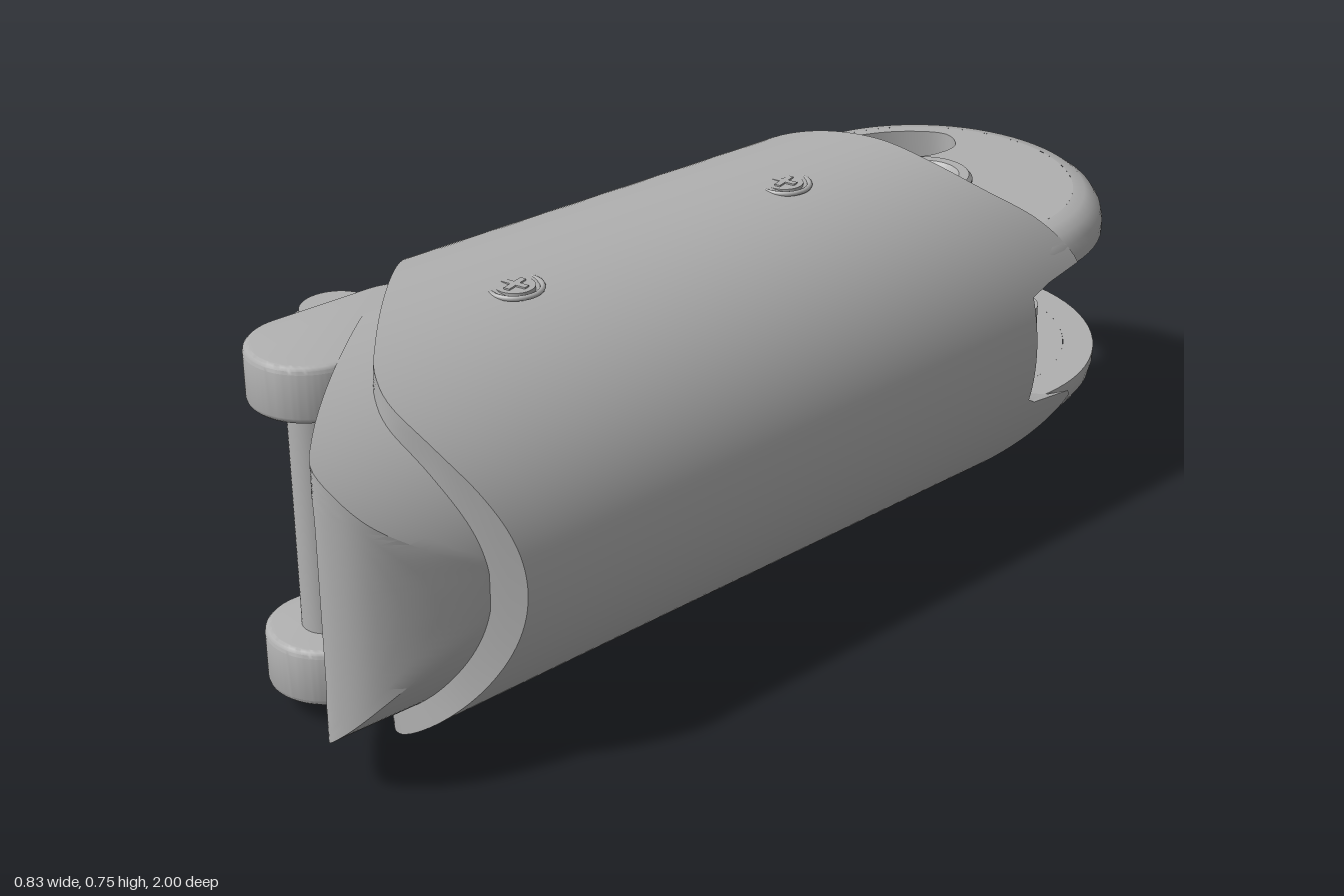
import * as THREE from 'three';
import { toCreasedNormals } from 'three/addons/utils/BufferGeometryUtils.js';

const grey = new THREE.MeshStandardMaterial({ color: 0xb0b0b0 });
grey.name = 'plain grey';

const MID = 0.38; // height of the horizontal mirror plane
const PIVOT = [-0.04, -0.65];
const lerp = THREE.MathUtils.lerp;

// piecewise linear lookup through [x, value] points
function table(points, x) {
  if (x <= points[0][0]) return points[0][1];
  for (let i = 1; i < points.length; i++) {
    const [x0, v0] = points[i - 1], [x1, v1] = points[i];
    if (x <= x1) return lerp(v0, v1, (x - x0) / (x1 - x0));
  }
  return points[points.length - 1][1];
}

// smooth curve through the points, resampled for lookups
function smoothTable(points) {
  const curve = new THREE.CatmullRomCurve3(points.map(([x, v]) => new THREE.Vector3(x, v, 0)), false, 'centripetal');
  return curve.getPoints(60).map(p => [p.x, p.y]);
}

// rounded rectangular cavity, along the ray at angle a
function cavity(a) {
  const c = Math.cos(a), s = Math.sin(a), w = c > 0 ? 0.23 : 0.25, n = 9;
  const r = Math.pow(Math.abs(c / w) ** n + Math.abs(s / 0.23) ** n, -1 / n);
  return [r * c, MID + r * s];
}

// thick sleeve between an outer outline and the cavity, with shaped ends
function sleeve(outline, front, back, taper) {
  const N = 160, path = [];
  for (let i = 0; i < 20; i++) path.push([1, i / 20]);
  for (let i = 0; i < 8; i++) path.push([1 - i / 8, 1]);
  for (let i = 0; i < 8; i++) path.push([0, 1 - i / 8]);
  for (let i = 0; i < 8; i++) path.push([i / 8, 0]);
  const pos = [], index = [], M = path.length;
  for (const [f, t] of path) {
    for (let i = 0; i < N; i++) {
      const a = (i / N) * Math.PI * 2, o = outline(a), c = cavity(a);
      const x = lerp(c[0], o[0], f), y = lerp(c[1], o[1], f);
      const z = lerp(front(x, y), back(x, y), t);
      pos.push(x > 0 ? x * lerp(1, taper(z), f) : x, y, z);
    }
  }
  for (let j = 0; j < M; j++) {
    for (let i = 0; i < N; i++) {
      const k = (i + 1) % N, p = j * N, q = ((j + 1) % M) * N;
      index.push(p + i, q + i, p + k, q + i, q + k, p + k);
    }
  }
  const g = new THREE.BufferGeometry();
  g.setAttribute('position', new THREE.Float32BufferAttribute(pos, 3));
  g.setIndex(index);
  return toCreasedNormals(g, 0.6);
}

// flat part from an (x, z) shape between two heights
function slab(shape, y0, y1, bevel = 0) {
  const g = new THREE.ExtrudeGeometry(shape, {
    depth: y1 - y0 - 2 * bevel, bevelEnabled: bevel > 0, bevelSize: bevel,
    bevelThickness: bevel, bevelOffset: -bevel, bevelSegments: 3, curveSegments: 32,
  });
  g.rotateX(Math.PI / 2).translate(0, y1 - bevel, 0);
  return toCreasedNormals(g, 0.6);
}

function stadium(ax, az, bx, bz, r) {
  const d = Math.atan2(bz - az, bx - ax), h = Math.PI / 2, s = new THREE.Shape();
  s.absarc(bx, bz, r, d - h, d + h, false);
  s.absarc(ax, az, r, d + h, d + 3 * h, false);
  return s;
}

function rod(x, z, r, y0, y1) {
  return new THREE.CylinderGeometry(r, r, y1 - y0, 40).translate(x, (y0 + y1) / 2, z);
}

// lathe around the hinge pivot; flip mirrors it to the lower side
function turned(profile, flip) {
  let p = profile.map(([r, y]) => new THREE.Vector2(r, flip ? 2 * MID - y : y));
  if (flip) p = p.reverse();
  return toCreasedNormals(new THREE.LatheGeometry(p, 72).translate(PIVOT[0], 0, PIVOT[1]), 0.6);
}

export function createModel() {
  const model = new THREE.Group();
  model.name = 'jointedSegment';
  const add = (name, geometry) => {
    const m = new THREE.Mesh(geometry, grey);
    m.name = name;
    model.add(m);
    return m;
  };

  // outer shell, with a lower side panel at -x and a slot at the rear of +x
  const shellFront = smoothTable([[-0.43, 0.285], [-0.41, 0.3], [-0.24, 0.47], [0.1, 0.775], [0.16, 0.82],
    [0.22, 0.835], [0.3, 0.805], [0.36, 0.76], [0.42, 0.7]]);
  const shellBack = smoothTable([[-0.415, -0.22], [-0.405, -0.28], [-0.37, -0.345], [-0.25, -0.38],
    [0, -0.45], [0.13, -0.49], [0.22, -0.55], [0.3, -0.65], [0.36, -0.72], [0.4, -0.74]]);
  add('outerShell', sleeve(
    a => {
      const c = Math.cos(a), k = c < -0.6 ? 0.98 : 1;
      return [c * (c > 0 ? 0.378 : 0.424) * k, 0.375 + Math.sin(a) * 0.375 * k];
    },
    x => table(shellFront, x > 0 ? x * 1.085 : x),
    (x, y) => {
      const z = table(shellBack, x), slot = 1 - THREE.MathUtils.smoothstep(Math.abs(y - MID), 0.115, 0.14);
      return x > 0 ? lerp(z, Math.max(z, -0.57), slot) : z;
    },
    z => 1 + 0.122 * z));

  // inner sleeve that emerges as the rounded front cap
  const capFront = smoothTable([[-0.37, 0.28], [-0.24, 0.485], [0, 0.755], [0.19, 0.965], [0.23, 0.995],
    [0.27, 0.985], [0.31, 0.95], [0.345, 0.86], [0.365, 0.74]]);
  add('frontCap', sleeve(
    a => [Math.cos(a) * 0.365, 0.375 + Math.sin(a) * 0.335],
    x => table(capFront, x), () => 0.2, () => 1));

  // rear hinge plates with round eye, curved slot and rounded outer rim
  const slotPoints = [[-0.19, -0.86], [-0.255, -0.81], [-0.3, -0.73], [-0.315, -0.65], [-0.3, -0.56], [-0.25, -0.475],
    [-0.19, -0.432], [-0.135, -0.44], [-0.117, -0.5], [-0.135, -0.56], [-0.175, -0.61], [-0.18, -0.67],
    [-0.15, -0.715], [-0.13, -0.76], [-0.135, -0.83]];
  const slotCurve = new THREE.CatmullRomCurve3(slotPoints.map(([x, z]) => new THREE.Vector3(x, z, 0)), true);
  const plate = new THREE.Shape().absarc(...PIVOT, 0.292, 0, Math.PI * 2, false);
  plate.holes.push(new THREE.Path().absarc(...PIVOT, 0.05, 0, Math.PI * 2, true));
  plate.holes.push(new THREE.Path(slotCurve.getPoints(60).map(p => new THREE.Vector2(p.x, p.y))));
  const rim = [[0.292, 0.51], [0.353, 0.51], [0.353, 0.53], [0.348, 0.552], [0.335, 0.572], [0.315, 0.586], [0.292, 0.59]];
  const eye = [[0.05, 0.51], [0.075, 0.51], [0.092, 0.59], [0.092, 0.6], [0.085, 0.608], [0.065, 0.608], [0.05, 0.595], [0.05, 0.51]];
  for (const flip of [false, true]) {
    const side = flip ? 'lower' : 'upper';
    add(side + 'HingePlate', flip ? slab(plate, 0.17, 0.25) : slab(plate, 0.51, 0.59));
    add(side + 'HingeRim', turned(rim, flip));
    add(side + 'HingeEye', turned(eye, flip));
  }

  // curved wall joining the hinge plates on the -x side
  const deg = Math.PI / 180, wall = new THREE.Shape();
  wall.absarc(...PIVOT, 0.35, 128 * deg, 223 * deg, false);
  wall.absarc(...PIVOT, 0.285, 223 * deg, 128 * deg, true);
  add('hingeWall', slab(wall, 0.24, 0.52));

  // stepped stop pin between the hinge plates
  add('stopPinLower', rod(0.09, -0.77, 0.06, 0.24, 0.33));
  add('stopPinNeck', rod(0.09, -0.77, 0.046, 0.33, 0.44));
  add('stopPinUpper', rod(0.09, -0.77, 0.06, 0.44, 0.52));

  // front lugs with their axle
  const lug = stadium(-0.04, 0.815, -0.04, 0.62, 0.11);
  add('upperFrontLug', slab(lug, 0.6, 0.705, 0.012));
  add('lowerFrontLug', slab(lug, 0.045, 0.155, 0.012));
  add('frontAxle', rod(-0.04, 0.815, 0.045, 0.1, 0.65));

  // side lugs with their pin and end caps
  const sideLug = stadium(-0.24, 0.625, -0.14, 0.5, 0.09);
  const knuckle = stadium(-0.24, 0.625, -0.235, 0.62, 0.09);
  add('upperSideLug', slab(sideLug, 0.54, 0.61, 0.01));
  add('lowerSideLug', slab(sideLug, 0.145, 0.215, 0.01));
  add('upperKnuckle', slab(knuckle, 0.425, 0.61, 0.008));
  add('lowerKnuckle', slab(knuckle, 0.14, 0.33, 0.008));
  add('sidePin', rod(-0.235, 0.625, 0.05, 0.3, 0.45));
  add('sidePinHead', rod(-0.24, 0.625, 0.068, 0.6, 0.635));
  add('sidePinCollar', rod(-0.23, 0.625, 0.07, 0.125, 0.15));
  add('sidePinEnd', rod(-0.24, 0.625, 0.045, 0.095, 0.13));

  // cross plates inside the front opening
  const cross = new THREE.Shape([[-0.24, 0.35], [0.235, 0.35], [0.235, 0.78], [0.05, 0.72], [-0.2, 0.5]]
    .map(([x, z]) => new THREE.Vector2(x, z)));
  add('upperCrossPlate', slab(cross, 0.54, 0.615));
  add('lowerCrossPlate', slab(cross, 0.145, 0.215));

  // screws, each with an inner stepped post and a cross-slotted head on top
  for (const [x, z, top] of [[0.05, -0.18, 0.742], [0.08, 0.47, 0.74]]) {
    add('screwPostUpper', rod(x, z, 0.077, 0.375, 0.62));
    add('screwPostLower', rod(x, z, 0.067, 0.14, 0.375));
    add('screwRing', new THREE.TorusGeometry(0.048, 0.005, 8, 40).rotateX(Math.PI / 2).translate(x, top, z));
    add('screwHead', rod(x, z, 0.036, top - 0.004, top + 0.004));
    for (const turn of [0.3, 0.3 + Math.PI / 2]) {
      add('screwCross', new THREE.BoxGeometry(0.05, 0.004, 0.012).rotateY(turn).translate(x, top + 0.005, z));
    }
  }
  return model;
}
